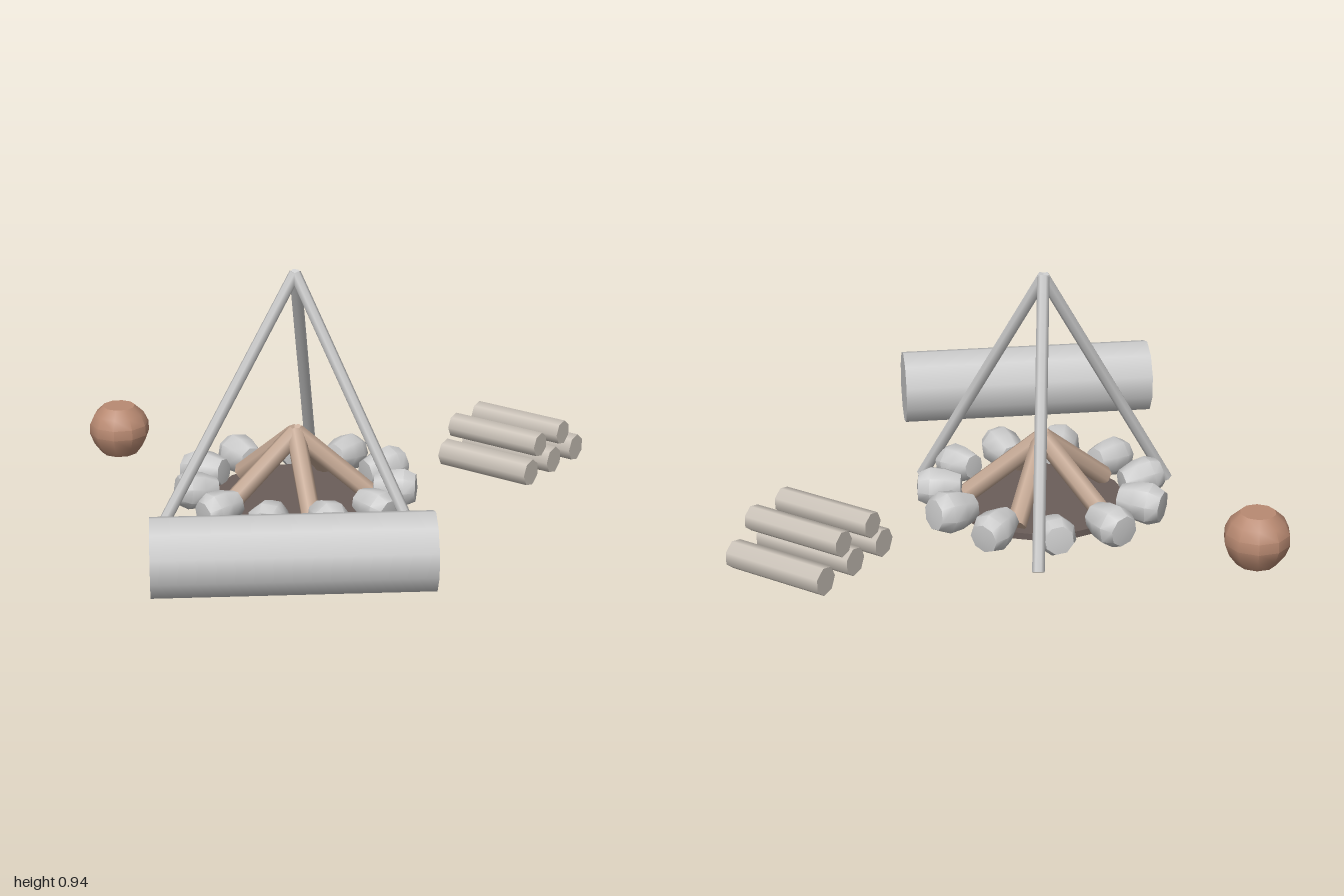
import * as THREE from 'three';
import { toCreasedNormals } from 'three/addons/utils/BufferGeometryUtils.js';

const UP = new THREE.Vector3(0, 1, 0);
const material = (color) => new THREE.MeshStandardMaterial({ color });
const grey = material(0xcccccc);
const bark = material(0xc4a894);
const splitWood = material(0xccc4ba);
const clay = material(0xb98a72);
const ash = material(0x6b5e5a);

function add(parent, name, geometry, mat) {
  const mesh = new THREE.Mesh(geometry, mat);
  mesh.name = name;
  parent.add(mesh);
  return mesh;
}

// Straight round pole between two points
function pole(parent, name, from, to, radius, sides, mat) {
  const dir = to.clone().sub(from);
  const mesh = add(parent, name, new THREE.CylinderGeometry(radius, radius, dir.length(), sides), mat);
  mesh.position.copy(from).add(to).multiplyScalar(0.5);
  mesh.quaternion.setFromUnitVectors(UP, dir.normalize());
  return mesh;
}

// Point on a ring; angles turn from +x towards the back
const polar = (angle, radius, y) =>
  new THREE.Vector3(Math.cos(angle) * radius, y, -Math.sin(angle) * radius);

function lathe(points, sides) {
  return new THREE.LatheGeometry(points.map(([r, y]) => new THREE.Vector2(r, y)), sides);
}

function createFire() {
  const fire = new THREE.Group();
  fire.name = 'firePit';
  fire.position.set(-0.107, 0, -0.152);

  // Ash bed
  add(fire, 'ashBed', new THREE.CylinderGeometry(0.315, 0.315, 0.025, 18), ash).position.y = 0.033;

  // Ring of stones, each a blunt lump pointing outwards
  const stoneShape = toCreasedNormals(lathe([
    [0, -0.085], [0.05, -0.08], [0.071, -0.02], [0.077, 0.035], [0.057, 0.079], [0, 0.086],
  ], 8), 0.9);
  const stoneCount = 11;
  for (let i = 0; i < stoneCount; i++) {
    const angle = (i / stoneCount) * Math.PI * 2;
    const stone = add(fire, 'stone', stoneShape, grey);
    stone.position.copy(polar(angle, 0.385, 0.085));
    const tilt = 0.12 * Math.sin(i * 2.4);
    stone.quaternion.setFromUnitVectors(UP, polar(angle + tilt, 1, tilt).normalize());
    stone.rotateY(i * 1.3);
    stone.scale.setScalar(1 + 0.05 * Math.sin(i * 1.7));
  }

  // Leaning fire logs
  for (let i = 0; i < 5; i++) {
    const angle = (i / 5) * Math.PI * 2;
    pole(fire, 'fireLog', polar(angle, 0.285, 0.06), polar(angle, 0.0, 0.293), 0.038, 7, bark);
  }

  // Tripod
  for (let i = 0; i < 3; i++) {
    const angle = Math.PI / 2 + (i / 3) * Math.PI * 2;
    pole(fire, 'tripodLeg', polar(angle, 0.545, 0.012), polar(angle, 0, 0.929), 0.023, 7, grey);
  }
  return fire;
}

function createFirewood() {
  const pile = new THREE.Group();
  pile.name = 'firewoodPile';
  pile.position.set(0.71, 0, -0.65);
  pile.rotation.y = -Math.PI / 6;
  const log = (radius, y, z) => {
    const mesh = add(pile, 'firewoodLog', new THREE.CylinderGeometry(radius, radius, 0.4, 7), splitWood);
    mesh.rotation.z = Math.PI / 2;
    mesh.position.set(0, y, z);
  };
  for (const z of [-0.175, 0, 0.175]) log(0.054, 0.07, z);
  for (const z of [-0.065, 0.11]) log(0.049, 0.167, z);
  return pile;
}

export function createModel() {
  const model = new THREE.Group();
  model.name = 'campsite';
  model.add(createFire(), createFirewood());

  // Log seat
  const seat = new THREE.Group();
  seat.name = 'logSeat';
  seat.position.set(-0.018, 0.16, 0.711);
  seat.rotation.y = 0.167;
  const trunk = add(seat, 'seatTrunk',
    new THREE.CylinderGeometry(0.146, 0.146, 1, 10).rotateY(Math.PI / 10), grey);
  trunk.rotation.z = Math.PI / 2;
  model.add(seat);

  // Clay pot with flat top and base
  const pot = add(model, 'pot', toCreasedNormals(lathe([
    [0, 0.02], [0.074, 0.02], [0.104, 0.06], [0.121, 0.105], [0.119, 0.145],
    [0.1, 0.185], [0.065, 0.217], [0, 0.217],
  ], 10), 0.68), clay);
  pot.position.set(-0.881, 0, -0.604);

  return model;
}
